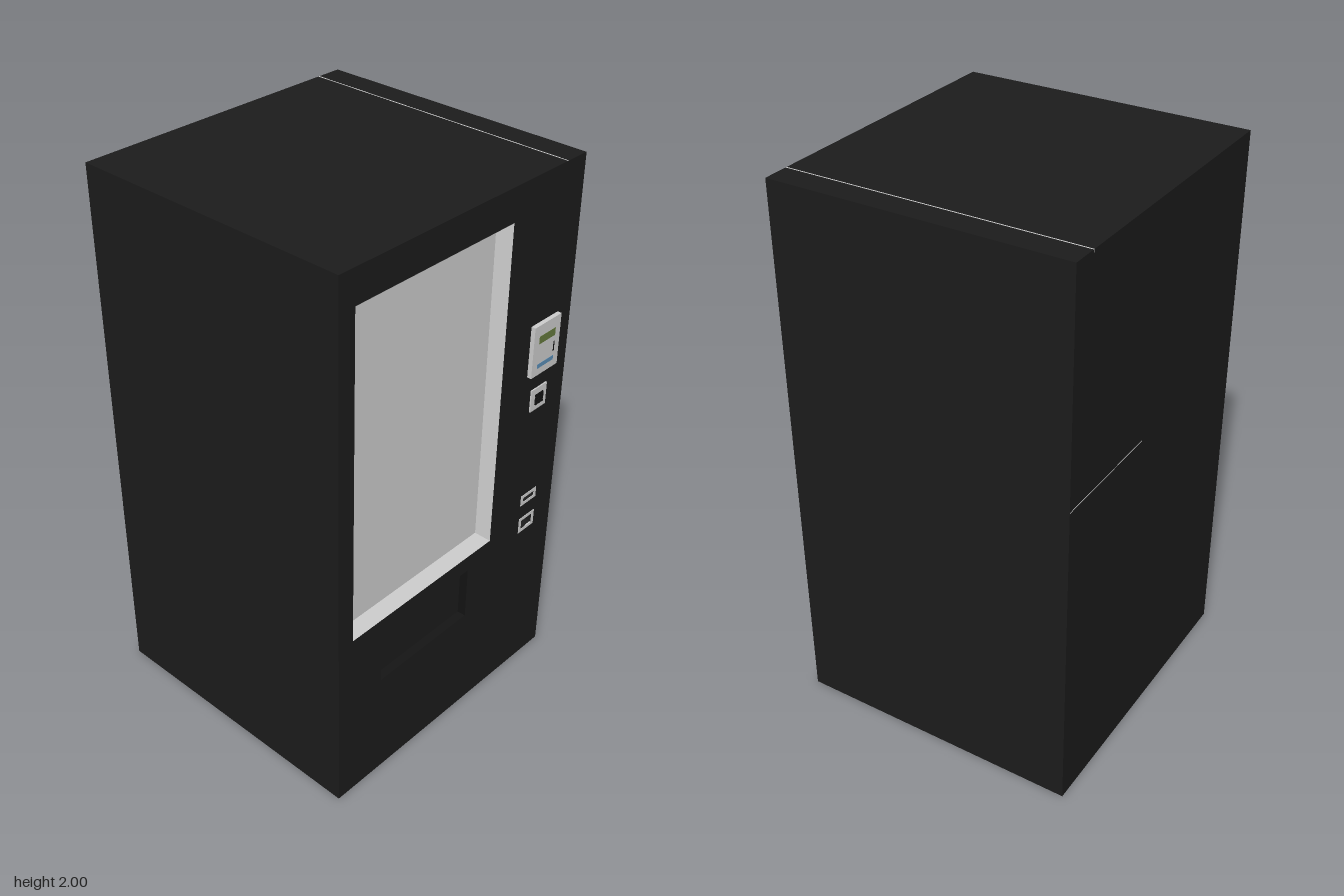
import * as THREE from 'three';

const BACK = -0.53, FRONT = 0.52, DOOR = 0.05, HALF_Z = 0.553;
const mat = (color) => new THREE.MeshStandardMaterial({ color });
const black = mat(0x1b1b1b), dark = mat(0x111111), grey = mat(0xcccccc);
const green = mat(0x64783c), blue = mat(0x5a8cb4);

// Openings in the service face: [z min, z max, y min, y max]
const WINDOW = [-0.205, 0.488, 0.677, 1.882];
const HATCH = [-0.09, 0.35, 0.41, 0.615];
const SLOTS = [[-0.455, -0.37, 0.735, 0.777], [-0.455, -0.37, 0.615, 0.677]];
const inset = ([a, b, c, d], t) => [a + t, b - t, c + t, d - t];

export function createModel() {
  const group = new THREE.Group();
  const add = (name, geo, material) => {
    const m = new THREE.Mesh(geo, material);
    m.name = name;
    group.add(m);
    return m;
  };
  const box = (name, x0, x1, [z0, z1, y0, y1], material) => {
    const m = add(name, new THREE.BoxGeometry(x1 - x0, y1 - y0, z1 - z0), material);
    m.position.set((x0 + x1) / 2, (y0 + y1) / 2, (z0 + z1) / 2);
    return m;
  };
  const outline = (target, [z0, z1, y0, y1]) => {
    target.moveTo(-z1, y0).lineTo(-z0, y0).lineTo(-z0, y1).lineTo(-z1, y1).closePath();
    return target;
  };
  // Rectangular plate facing +x, with rectangular openings
  const plate = (name, x0, x1, rect, openings, material) => {
    const shape = outline(new THREE.Shape(), rect);
    for (const o of openings) shape.holes.push(outline(new THREE.Path(), o));
    const geo = new THREE.ExtrudeGeometry(shape, { depth: x1 - x0, bevelEnabled: false });
    geo.rotateY(Math.PI / 2).translate(x0, 0, 0);
    return add(name, geo, material);
  };
  // Four sloping sides from an outer rectangle to a sunken inner one
  const bevel = (name, outer, inner, x0, x1, material) => {
    const ring = ([z0, z1, y0, y1], x) =>
      [[x, y0, z1], [x, y0, z0], [x, y1, z0], [x, y1, z1]];
    const o = ring(outer, x0), n = ring(inner, x1), pos = [];
    for (let i = 0; i < 4; i++) {
      const j = (i + 1) % 4;
      pos.push(...o[i], ...o[j], ...n[j], ...o[i], ...n[j], ...n[i]);
    }
    const geo = new THREE.BufferGeometry();
    geo.setAttribute('position', new THREE.Float32BufferAttribute(pos, 3));
    geo.computeVertexNormals();
    return add(name, geo, material);
  };

  // Cabinet and its front door panel
  const full = [-HALF_Z, HALF_Z, 0, 2];
  const slotHoles = SLOTS.map((s) => inset(s, 0.012));
  box('cabinet', BACK - 0.005, FRONT - DOOR, full, black);
  plate('doorPanel', FRONT - DOOR, FRONT - 0.003, full, [WINDOW, HATCH, ...slotHoles], black);

  // Sunken display window
  const pane = inset(WINDOW, 0.034);
  bevel('windowFrame', WINDOW, pane, FRONT - 0.003, FRONT - 0.043, grey);
  box('windowPane', FRONT - 0.048, FRONT - 0.043, pane, grey);

  // Delivery hatch
  const flap = inset(HATCH, 0.016);
  bevel('hatchFrame', HATCH, flap, FRONT - 0.003, FRONT - 0.023, dark);
  box('hatchFlap', FRONT - 0.03, FRONT - 0.023, flap, black);

  // Coin return and change slots
  SLOTS.forEach((s, i) => {
    plate('slotFrame', FRONT - 0.006, FRONT - 0.001, s, [slotHoles[i]], grey);
    box('slotBack', FRONT - 0.035, FRONT - 0.03, slotHoles[i], grey);
  });

  // Payment reader
  box('paymentReader', FRONT - 0.01, 0.533, [-0.482, -0.342, 1.28, 1.47], grey);
  box('readerDisplay', 0.53, 0.534, [-0.455, -0.37, 1.4, 1.428], green);
  box('readerStrip', 0.53, 0.534, [-0.455, -0.37, 1.307, 1.323], blue);
  box('cardSlot', 0.53, 0.534, [-0.456, -0.451, 1.34, 1.378], dark);

  // Keypad with three columns of keys
  box('keypadPlate', FRONT - 0.01, 0.522, [-0.453, -0.37, 1.13, 1.215], grey);
  for (let r = 0; r < 4; r++) for (let c = 0; c < 3; c++) {
    const z = -0.411 + (c - 1) * 0.0145, y = 1.172 + (r - 1.5) * 0.0105;
    box('key', 0.52, 0.527, [z - 0.006, z + 0.006, y - 0.004, y + 0.004], dark);
  }

  // Thin seams on the roof and on the rear panel
  box('roofSeam', BACK - 0.005, FRONT - 0.003, [-0.461, -0.457, 1.99, 2.0005], grey);
  box('rearSeam', BACK - 0.0055, BACK, [-HALF_Z, -0.1, 1.188, 1.191], grey);

  return group;
}
